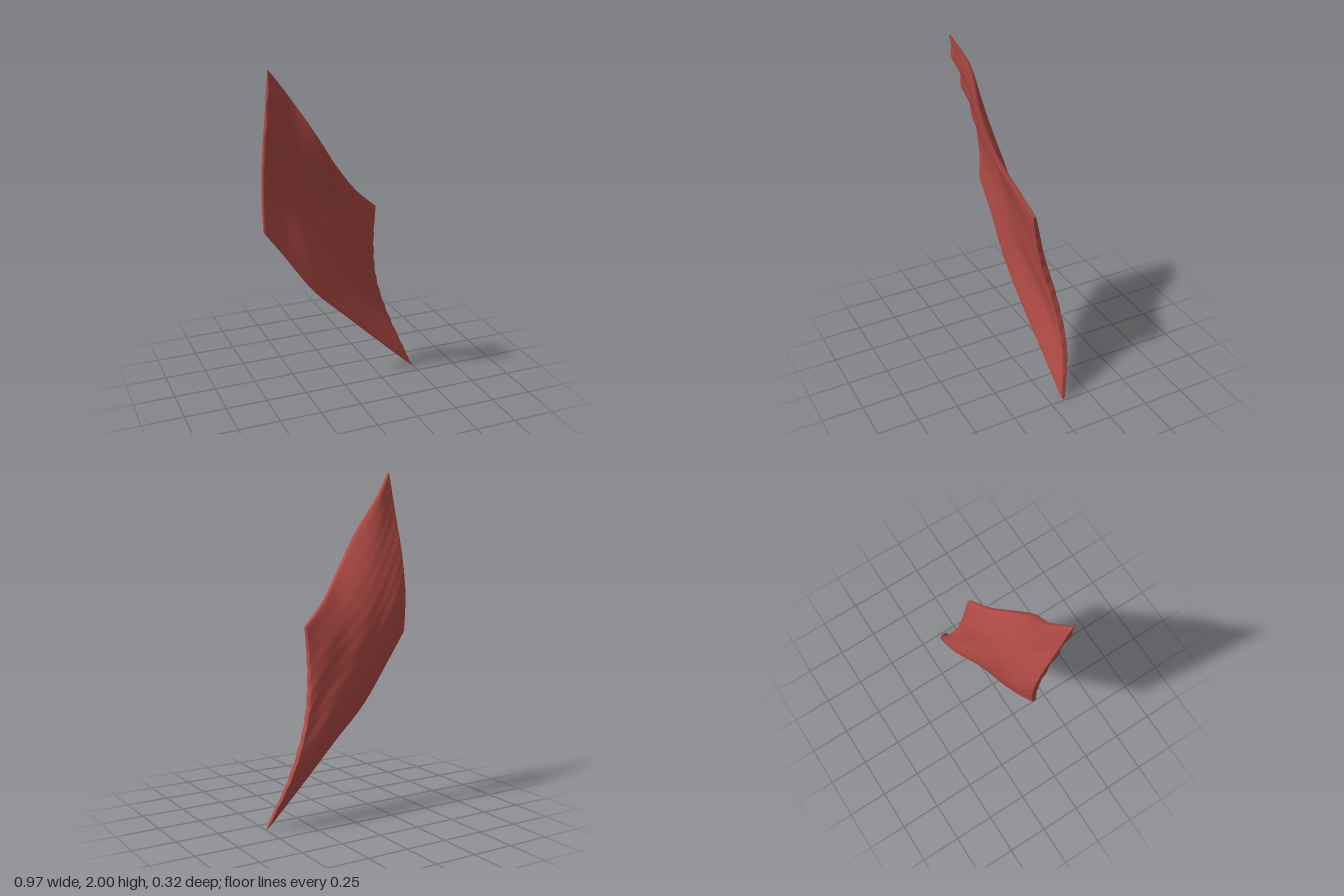
import * as THREE from 'three';

// Edges of the sheet, one entry per cross-section from left to right: [x, y]
const LOWER = [[-0.478, 1.05], [-0.36, 0.89], [-0.18, 0.64], [0.02, 0.445], [0.25, 0.225], [0.49, 0]];
const UPPER = [[-0.483, 2], [-0.36, 1.848], [-0.22, 1.64], [-0.08, 1.425], [0.06, 1.255], [0.206, 1.125]];
// Depth of each cross-section, at five steps from the lower to the upper edge
const DEPTH = [
  [-0.035, -0.038, 0.005, 0.078, 0.143],
  [-0.045, -0.068, -0.025, 0.035, 0.085],
  [-0.048, -0.067, -0.057, 0.005, 0.1],
  [-0.053, -0.1, -0.068, -0.02, 0.072],
  [-0.07, -0.143, -0.1, -0.06, 0.012],
  [-0.086, -0.15, -0.14, -0.082, -0.034],
];

// Five smooth curves running along the fibres
const rows = [0, 1, 2, 3, 4].map((r) => new THREE.CatmullRomCurve3(
  LOWER.map(([lx, ly], c) => {
    const [ux, uy] = UPPER[c];
    const v = r / 4;
    return new THREE.Vector3(lx + (ux - lx) * v, ly + (uy - ly) * v, DEPTH[c][r]);
  }), false, 'catmullrom', 0.5));

// Closed, curved sheet with rounded rims, built from loops around its thickness
function sheetGeometry(columns, loop) {
  const positions = [];
  const indices = [];
  for (let i = 0; i <= columns; i++) {
    const a = (i / columns) * Math.PI;
    const u = 0.5 - 0.5 * Math.cos(a);
    const endTaper = Math.pow(Math.max(Math.sin(a), 0.03), 0.18);
    const section = new THREE.CatmullRomCurve3(
      rows.map((row) => row.getPoint(u)), false, 'catmullrom', 0.5);
    for (let j = 0; j < loop; j++) {
      const t = (j / loop) * Math.PI * 2;
      const v = 0.5 - 0.5 * Math.cos(t);
      const p = section.getPoint(v);
      const s = Math.sin(t);
      const half = 0.026 * endTaper * Math.sign(s) * Math.pow(Math.abs(s), 0.35);
      // hollow right end, with a slightly ragged rim
      p.x -= 0.077 * Math.sin(Math.PI * Math.pow(v, 1.3)) * Math.pow(u, 5);
      p.x += 0.003 * Math.sin(70 * v) * Math.sin(Math.PI * v) * Math.pow(u, 12);
      // bumps on the front of the left end, strongest near the top
      p.z += 0.028 * Math.sin(31 * v - 0.35) * v * v * Math.max(s, 0) * Math.pow(1 - u, 10);
      // faint fibre ridges
      p.z += 0.0008 * Math.sin(60 * v + 4 * Math.sin(5 * u)) * Math.abs(s);
      positions.push(p.x, p.y, p.z + half);
    }
  }
  for (let i = 0; i < columns; i++) {
    for (let j = 0; j < loop; j++) {
      const k = (j + 1) % loop;
      const a = i * loop + j, b = a + loop;
      const d = i * loop + k, c = d + loop;
      indices.push(a, b, c, a, c, d);
    }
  }
  // narrow end caps joining front to back
  const last = columns * loop;
  for (let j = 0; j < loop / 2; j++) {
    const f0 = j, f1 = j + 1;
    const b0 = (loop - j) % loop, b1 = loop - j - 1;
    indices.push(f0, f1, b1, f0, b1, b0);
    indices.push(last + f0, last + b1, last + f1, last + f0, last + b0, last + b1);
  }
  const geometry = new THREE.BufferGeometry();
  geometry.setAttribute('position', new THREE.Float32BufferAttribute(positions, 3));
  geometry.setIndex(indices);
  geometry.computeVertexNormals();
  return geometry;
}

export function createModel() {
  const group = new THREE.Group();
  group.name = 'muscle';
  const muscleRed = new THREE.MeshStandardMaterial({ color: 0xb04a45 });
  muscleRed.name = 'muscleRed';
  const sheet = new THREE.Mesh(sheetGeometry(72, 160), muscleRed);
  sheet.name = 'muscleSheet';
  group.add(sheet);
  return group;
}
